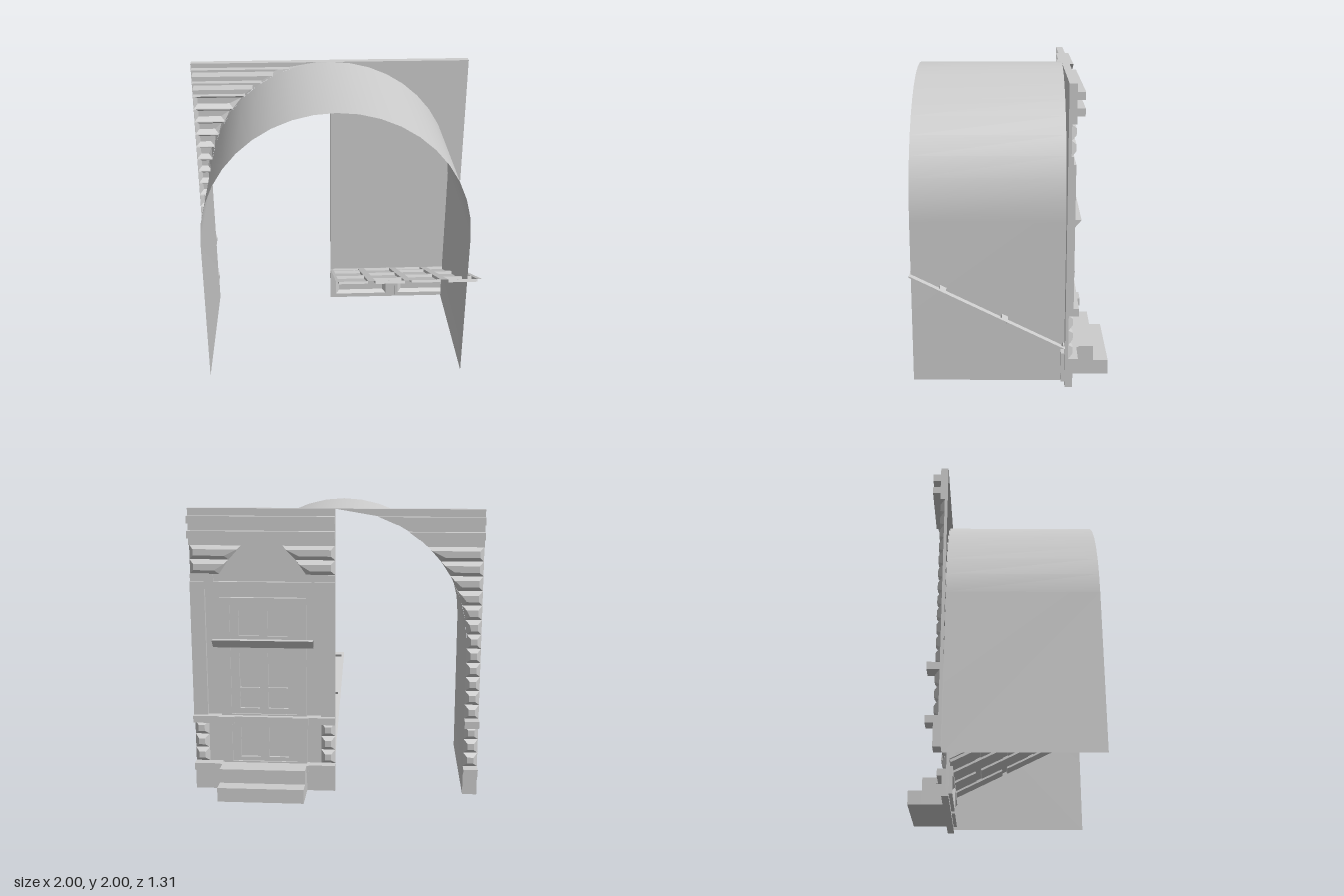
import * as THREE from 'three';

const stone = new THREE.MeshStandardMaterial({ color: 0xcccccc, side: THREE.DoubleSide });
stone.name = 'pale stone';

const WALL = -0.37, FACE = -0.4, PROUD = -0.45, FRONT = -0.35;
const R = 0.9, SPRING = 1.1;
// inner edge of the arch at a given height
const archX = y => (y <= SPRING ? -R : -Math.sqrt(Math.max(0, R * R - (y - SPRING) ** 2)));

export function createModel() {
  const model = new THREE.Group();

  function add(name, geo, parent = model) {
    const m = new THREE.Mesh(geo, stone);
    m.name = name;
    parent.add(m);
    return m;
  }
  function box(name, x0, x1, y0, y1, z0, z1, parent) {
    const g = new THREE.BoxGeometry(x1 - x0, y1 - y0, Math.abs(z1 - z0));
    g.translate((x0 + x1) / 2, (y0 + y1) / 2, (z0 + z1) / 2);
    return add(name, g, parent);
  }
  // skin over four-cornered rings, closed by a cap on the last ring
  function loft(rings) {
    const p = [];
    const quad = (a, b, c, d) => p.push(...a, ...b, ...c, ...a, ...c, ...d);
    for (let r = 0; r + 1 < rings.length; r++)
      for (let i = 0; i < 4; i++) {
        const j = (i + 1) % 4;
        quad(rings[r][i], rings[r + 1][i], rings[r + 1][j], rings[r][j]);
      }
    const e = rings[rings.length - 1];
    quad(e[0], e[3], e[2], e[1]);
    const g = new THREE.BufferGeometry();
    g.setAttribute('position', new THREE.Float32BufferAttribute(p, 3));
    g.computeVertexNormals();
    return g;
  }
  // four corners with slanted ends: left/right edge given at bottom and top
  const ring = (l0, l1, r0, r1, y0, y1, z) => [[l0, y0, z], [r0, y0, z], [r1, y1, z], [l1, y1, z]];
  // bevelled stone course, hollow towards +z
  function course(name, y0, y1, l0, l1, r0, r1, parent) {
    const b = 0.028;
    const c = Math.min(b, (r0 - l0) * 0.3);
    add(name, loft([
      ring(l0, l1, r0, r1, y0, y1, FRONT),
      ring(l0, l1, r0, r1, y0, y1, WALL),
      ring(l0 + c, l1 + c, r0 - c, r1 - c, y0 + b, y1 - b, FACE),
    ]), parent);
  }
  function rectPath(path, x0, x1, y0, y1) {
    path.moveTo(x0, y0); path.lineTo(x1, y0); path.lineTo(x1, y1); path.lineTo(x0, y1); path.closePath();
    return path;
  }
  // flat plate with rectangular openings
  function panelFrame(name, outer, holes, z0, z1, parent) {
    const s = rectPath(new THREE.Shape(), ...outer);
    holes.forEach(h => s.holes.push(rectPath(new THREE.Path(), ...h)));
    const g = new THREE.ExtrudeGeometry(s, { depth: Math.abs(z1 - z0), bevelEnabled: false });
    g.translate(0, 0, Math.min(z0, z1));
    add(name, g, parent);
  }

  // barrel vault
  const arc = [[R, 0]];
  for (let i = 0; i <= 20; i++) {
    const a = Math.PI * i / 20;
    arc.push([R * Math.cos(a), SPRING + R * Math.sin(a)]);
  }
  arc.push([-R, 0]);
  const vault = new THREE.PlaneGeometry(1, 1, arc.length - 1, 1);
  const vp = vault.attributes.position;
  for (let i = 0; i < vp.count; i++) {
    const [x, y] = arc[i % arc.length];
    vp.setXYZ(i, x, y, i < arc.length ? FRONT : 0.65);
  }
  vault.computeVertexNormals();
  add('vault', vault);

  // cornice bands on both halves, cut by the arch on the open half
  for (let i = 0; i < 5; i++) {
    const y0 = 1.75 + i * 0.05, y1 = y0 + 0.05, z = i % 2 ? PROUD : FACE;
    box('corniceBand', 0, 1, y0, y1, FRONT, z);
    const r0 = archX(y0), r1 = archX(y1);
    add('archCorniceBand', loft([
      ring(-1, -1, r0, r1, y0, y1, FRONT),
      ring(-1, -1, r0, r1, y0, y1, z)]));
  }

  // open half: rusticated pier following the arch
  const pier = new THREE.Group();
  pier.name = 'archPier';
  model.add(pier);
  for (let i = 0; i < 12; i++) {
    const y0 = 0.55 + i * 0.1, y1 = y0 + 0.1;
    course('pierStone', y0, y1, -1, -1, archX(y0), archX(y1), pier);
  }
  for (let i = 0; i < 3; i++) course('lowerPierStone', 0.2 + i * 0.1, 0.3 + i * 0.1, -1, -1, -R, -R, pier);
  box('pierBack', -1, -R, 0, 0.55, FRONT - 0.005, FRONT, pier);
  box('pierPlinth', -1, -R, 0, 0.15, FRONT, FACE, pier);
  for (const y of [0.15, 0.5]) box('pierRail', -1, -R, y, y + 0.05, FRONT, PROUD, pier);

  // closed half: wall with plinth, rails and pilasters
  const house = new THREE.Group();
  house.name = 'doorFacade';
  model.add(house);
  box('wall', 0, 1, 0, 1.76, FRONT, WALL, house);
  box('plinth', 0, 1, 0, 0.15, WALL, FACE, house);
  box('upperBand', 0, 1, 1.45, 1.5, WALL, FACE, house);
  for (const y of [0.15, 0.5]) {
    box('rail', 0, 1, y, y + 0.05, WALL, -0.435, house);
    for (const x of [0.24, 0.76]) box('railBlock', x - 0.055, x + 0.055, y, y + 0.05, WALL, PROUD, house);
  }
  for (const x of [0, 0.9]) {
    box('pilaster', x, x + 0.1, 0.55, 1.45, WALL, FACE, house);
    for (let i = 0; i < 3; i++) course('cornerStone', 0.2 + i * 0.1, 0.3 + i * 0.1, x, x, x + 0.1, x + 0.1, house);
  }
  // stepped stones beside the shallow lunette
  const edges = [0.16, 0.2, 0.27, 0.36], rows = [1.5, 1.55, 1.65, 1.75];
  for (let i = 0; i < 3; i++) {
    const a = edges[i], b = edges[i + 1];
    if (i === 0) {
      for (const x of [0, 1 - a]) box('lunetteBase', x, x + a, rows[0], rows[1], WALL, -0.385, house);
      continue;
    }
    course('lunetteStone', rows[i], rows[i + 1], 0, 0, a, b, house);
    course('lunetteStone', rows[i], rows[i + 1], 1 - a, 1 - b, 1, 1, house);
  }

  // window casing, panelled leaves and hood
  const cols = [[0.33, 0.47], [0.53, 0.67]];
  const holes = rs => cols.flatMap(c => rs.map(r => [...c, ...r]));
  panelFrame('windowCasing', [0.2, 0.8, 0.55, 1.39], [[0.27, 0.73, 0.56, 1.34]], WALL, FACE, house);
  panelFrame('windowLeaves', [0.27, 0.73, 0.56, 1.34], holes([[0.6, 0.72], [0.75, 1], [1.12, 1.3]]), WALL, -0.388, house);
  panelFrame('apronCasing', [0.2, 0.8, 0.2, 0.5], [[0.27, 0.73, 0.21, 0.49]], WALL, FACE, house);
  panelFrame('apronPanels', [0.27, 0.73, 0.21, 0.49], holes([[0.24, 0.46]]), WALL, -0.388, house);
  add('windowHood', loft([
    [[0.15, 1.04, FACE], [0.15, 1.1, PROUD], [0.15, 1.1, FACE], [0.15, 1.04, WALL]],
    [[0.85, 1.04, FACE], [0.85, 1.1, PROUD], [0.85, 1.1, FACE], [0.85, 1.04, WALL]]]), house);

  // entrance steps
  box('upperStep', 0.2, 0.8, 0, 0.2, FACE, -0.55, house);
  box('lowerStep', 0.2, 0.8, 0, 0.1, -0.55, -0.65, house);

  // bevelled panels on the inner face, below the ramp
  for (const x of [0.02, 0.52]) {
    const r = (i, z) => ring(x + i, x + i, x + 0.45 - i, x + 0.45 - i, 0.025 + i, 0.225 - i, z);
    add('innerPanel', loft([r(0, FRONT), r(0, -0.325), r(0.024, -0.325), r(0.05, -0.345)]), house);
  }

  // sloping ramp: frame sheet with staggered sunken trays
  const slope = (x, z, d) => [x, 0.27 + 0.5 * (z + 0.35) - d * 0.894, z + d * 0.447];
  const ramp = new THREE.Group();
  ramp.name = 'ramp';
  model.add(ramp);
  const sheet = rectPath(new THREE.Shape(), 0, 1, -0.35, 0.65);
  for (let c = 0; c < 4; c++) {
    const x0 = 0.02 + c * 0.25, x1 = x0 + 0.2;
    const trays = c % 2 ? [[-0.34, 0.02], [0.06, 0.42], [0.46, 0.648]]
      : [[-0.348, -0.18], [-0.14, 0.22], [0.26, 0.62]];
    for (const [z0, z1] of trays) {
      sheet.holes.push(rectPath(new THREE.Path(), x0, x1, z0, z1));
      const r = d => [slope(x0, z0, d), slope(x1, z0, d), slope(x1, z1, d), slope(x0, z1, d)];
      add('rampTray', loft([r(0), r(0.02)]), ramp);
    }
  }
  const sg = new THREE.ShapeGeometry(sheet), sp = sg.attributes.position;
  for (let i = 0; i < sp.count; i++) sp.setXYZ(i, ...slope(sp.getX(i), sp.getY(i), 0));
  // turn the sheet so that it faces up
  sg.index.array.reverse();
  sg.computeVertexNormals();
  add('rampFrame', sg, ramp);

  return model;
}
